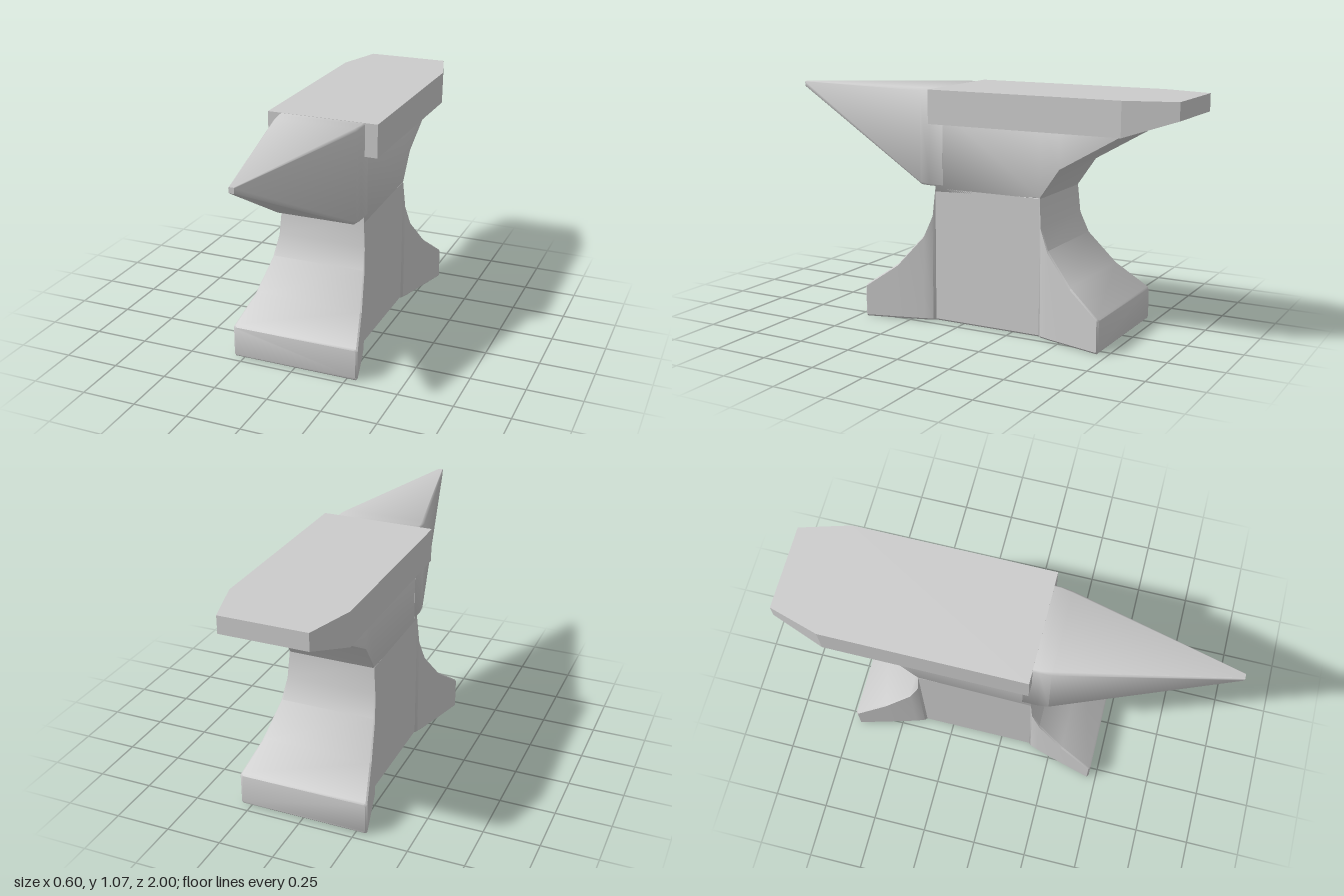
import * as THREE from 'three';
import { toCreasedNormals } from 'three/addons/utils/BufferGeometryUtils.js';

const material = new THREE.MeshStandardMaterial({ color: 0xcccccc });

// Rectangular outline with optional bevelled corners, counter-clockwise seen from +z
function outline(y0, y1, w, c) {
  if (!c) return [[w, y0], [w, y1], [-w, y1], [-w, y0]];
  return [
    [w, y0 + c], [w, y1 - c], [w - c, y1], [-w + c, y1],
    [-w, y1 - c], [-w, y0 + c], [-w + c, y0], [w - c, y0],
  ];
}

// Skin over sections [z, bottom, top, halfWidth, bevel], listed from front to back
function loft(name, sections, bevel = 0, crease = 0.7) {
  const positions = [], index = [];
  const n = bevel ? 8 : 4;
  for (const [z, y0, y1, w, c = bevel] of sections) {
    for (const [x, y] of outline(y0, y1, w, c)) positions.push(x, y, z);
  }
  const last = (sections.length - 1) * n;
  for (let s = 0; s < last; s += n) {
    for (let j = 0; j < n; j++) {
      const k = (j + 1) % n;
      index.push(s + j, s + n + j, s + k, s + k, s + n + j, s + n + k);
    }
  }
  for (let j = 1; j < n - 1; j++) {
    index.push(0, j, j + 1, last, last + j + 1, last + j);
  }
  const geometry = new THREE.BufferGeometry();
  geometry.setAttribute('position', new THREE.Float32BufferAttribute(positions, 3));
  geometry.setIndex(index);
  const mesh = new THREE.Mesh(toCreasedNormals(geometry, crease), material);
  mesh.name = name;
  return mesh;
}

export function createModel() {
  const anvil = new THREE.Group();
  anvil.name = 'anvil';

  // Spreading feet and narrow waist
  anvil.add(loft('base', [
    [0.465, 0.008, 0.147, 0.292],
    [0.457, 0, 0.155, 0.3],
    [0.31, 0, 0.26, 0.26],
    [0.19, 0, 0.4, 0.225],
    [0.15, 0, 0.5, 0.21],
    [0.14, 0, 0.63, 0.2],
    [-0.385, 0, 0.63, 0.2],
    [-0.395, 0, 0.5, 0.21],
    [-0.435, 0, 0.4, 0.225],
    [-0.56, 0, 0.26, 0.26],
    [-0.702, 0, 0.155, 0.3],
    [-0.71, 0.008, 0.147, 0.292],
  ], 0.008));

  // Upper body with the sloping underside of the heel
  anvil.add(loft('body', [
    [0.14, 0.6, 1.0, 0.2],
    [-0.385, 0.62, 1.0, 0.2],
    [-0.475, 0.75, 1.0, 0.2],
    [-0.77, 0.92, 1.0, 0.2],
  ], 0.006, 0.8));

  // Flat working face, narrowing and thinning at the heel
  anvil.add(loft('face', [
    [0.14, 0.92, 1.073, 0.26],
    [-0.775, 0.92, 1.073, 0.26],
    [-1, 0.995, 1.073, 0.193],
  ], 0, 0.1));

  // Tapering horn
  anvil.add(loft('horn', [
    [1, 1.025, 1.05, 0.012, 0.003],
    [0.22, 0.63, 1.071, 0.196, 0.012],
    [0.17, 0.63, 1.072, 0.201, 0.008],
    [0.1, 0.63, 1.072, 0.201, 0.008],
  ], 0.008, 0.8));

  return anvil;
}
